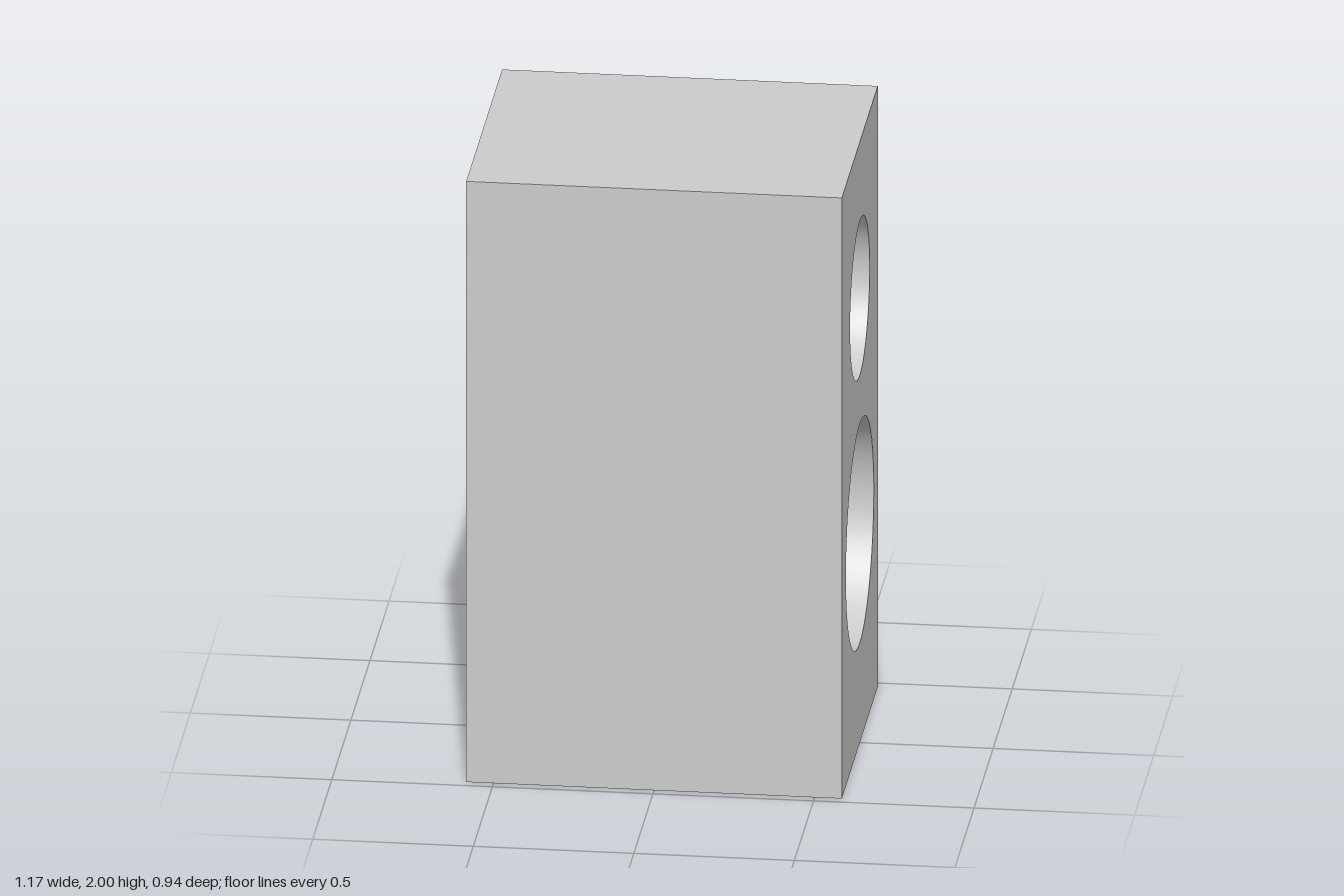
import * as THREE from 'three';

const W = 1.17, H = 2, D = 0.94, SEGMENTS = 64;
const DRIVERS = [
  { name: 'upperDish', y: 1.48, r: 0.257 },
  { name: 'lowerDish', y: 0.697, r: 0.365 },
];

export function createModel() {
  const group = new THREE.Group();
  const material = new THREE.MeshStandardMaterial({ color: 0xcccccc });
  const add = (name, geometry) => {
    const mesh = new THREE.Mesh(geometry, material);
    mesh.name = name;
    group.add(mesh);
    return mesh;
  };

  // Cabinet: a box left open on its +x side (the first six indices)
  const box = new THREE.BoxGeometry(W, H, D);
  box.setIndex(Array.from(box.index.array).slice(6));
  box.clearGroups();
  add('cabinet', box).position.y = H / 2;

  // Baffle: the +x side, pierced by the two round openings
  const panel = new THREE.Shape([
    new THREE.Vector2(-D / 2, 0), new THREE.Vector2(D / 2, 0),
    new THREE.Vector2(D / 2, H), new THREE.Vector2(-D / 2, H),
  ]);
  for (const { y, r } of DRIVERS) {
    panel.holes.push(new THREE.Path().absarc(0, y, r, 0, Math.PI * 2, true));
  }
  const baffle = new THREE.ShapeGeometry(panel, SEGMENTS);
  baffle.rotateY(Math.PI / 2);
  add('baffle', baffle).position.x = W / 2;

  // Dishes: hemispherical hollows, profiled from rim to bottom so they face inward
  for (const { name, y, r } of DRIVERS) {
    const profile = [];
    for (let i = 0; i <= 24; i++) {
      const a = (i / 24) * Math.PI / 2;
      profile.push(new THREE.Vector2(i === 24 ? 0 : r * Math.cos(a), -r * Math.sin(a)));
    }
    const dish = new THREE.LatheGeometry(profile, SEGMENTS);
    dish.rotateZ(-Math.PI / 2);
    add(name, dish).position.set(W / 2, y, 0);
  }
  return group;
}
